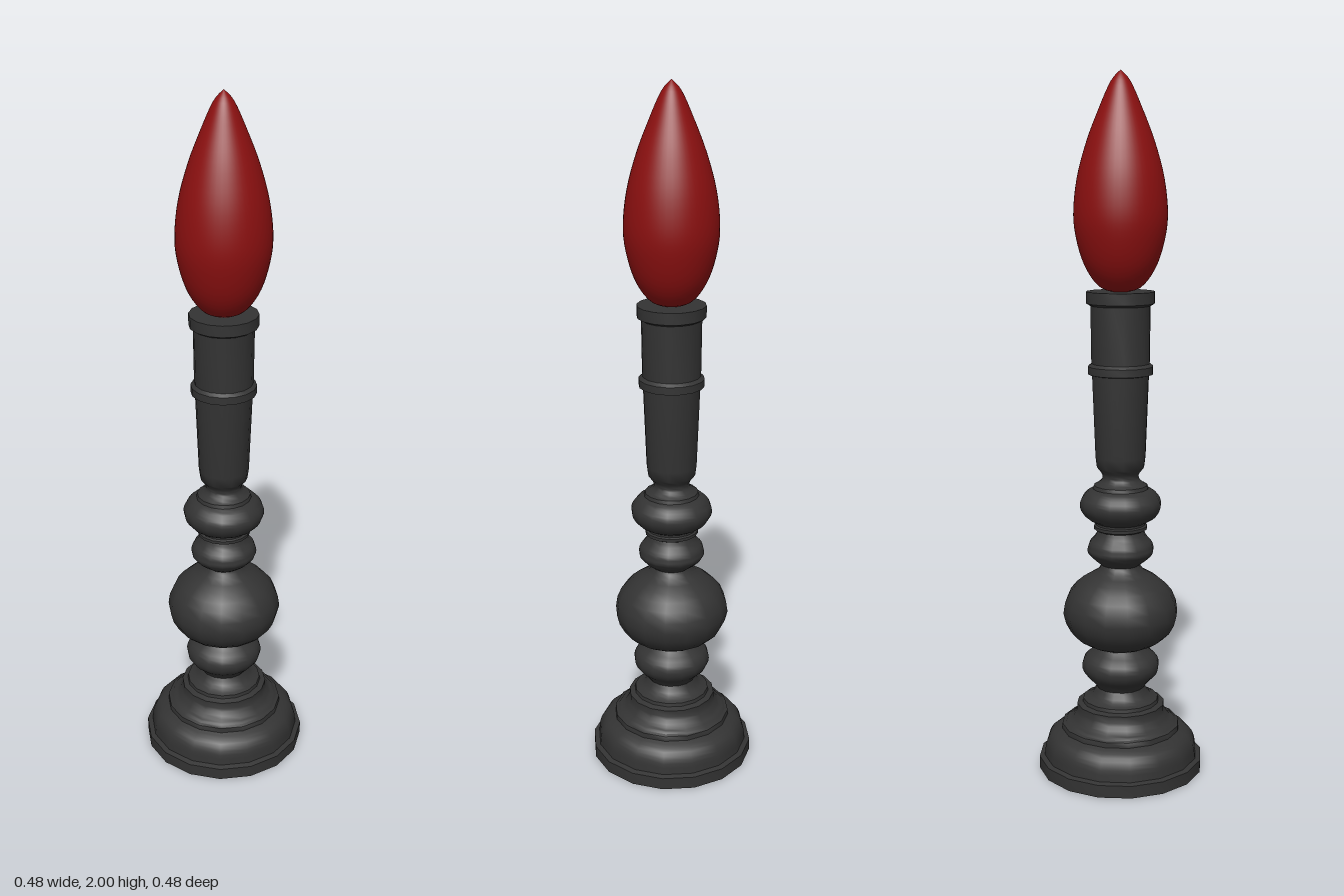
import * as THREE from 'three';
import { toCreasedNormals } from 'three/addons/utils/BufferGeometryUtils.js';

const iron = new THREE.MeshStandardMaterial({ color: 0x333333 });
const red = new THREE.MeshStandardMaterial({ color: 0x8c1010 });

const points = (list) => list.map(([r, y]) => new THREE.Vector2(r, y));
const curve = (list, steps) =>
  new THREE.SplineCurve(points(list)).getPoints(steps).map((p) => p.setX(Math.max(p.x, 0)));

// Turned part: 16 sides, sharp where the profile turns sharply
function turned(name, profile) {
  const geometry = toCreasedNormals(new THREE.LatheGeometry(profile, 16), 0.7);
  const mesh = new THREE.Mesh(geometry, iron);
  mesh.name = name;
  return mesh;
}

export function createModel() {
  const model = new THREE.Group();
  model.name = 'candlestick';

  // Stepped foot, closed underneath
  model.add(turned('foot', [
    ...points([[0, 0], [0.24, 0], [0.24, 0.036], [0.225, 0.04]]),
    ...curve([[0.224, 0.05], [0.219, 0.08], [0.203, 0.105], [0.173, 0.12]], 8),
    ...points([[0.172, 0.135], [0.163, 0.138]]),
    ...curve([[0.16, 0.142], [0.143, 0.152], [0.128, 0.175]], 5),
    ...points([[0.128, 0.195], [0.112, 0.2]]),
    ...curve([[0.11, 0.21], [0.085, 0.222], [0.07, 0.245]], 5),
  ]));

  // Beads of the stem, from neck to neck
  const beads = {
    lowerBead: [[0.07, 0.245], [0.082, 0.262], [0.105, 0.285], [0.113, 0.31], [0.105, 0.335], [0.082, 0.355], [0.07, 0.367]],
    mainBulb: [[0.07, 0.367], [0.105, 0.382], [0.145, 0.413], [0.167, 0.47], [0.15, 0.53], [0.11, 0.57], [0.068, 0.595], [0.055, 0.613]],
    middleBead: [[0.055, 0.613], [0.075, 0.628], [0.092, 0.645], [0.096, 0.66], [0.09, 0.68], [0.075, 0.697], [0.067, 0.715]],
    upperBead: [[0.078, 0.742], [0.1, 0.755], [0.116, 0.78], [0.115, 0.805], [0.098, 0.828], [0.08, 0.838]],
  };
  for (const [name, list] of Object.entries(beads)) model.add(turned(name, curve(list, 14)));

  // Thin collar between the two upper beads
  model.add(turned('collar', points([
    [0.067, 0.715], [0.077, 0.72], [0.077, 0.729], [0.071, 0.732], [0.071, 0.738], [0.078, 0.742],
  ])));

  // Neck, tapered socket, ring and rim
  model.add(turned('socket', [
    ...points([[0.08, 0.838], [0.077, 0.848]]),
    ...curve([[0.072, 0.85], [0.055, 0.863], [0.053, 0.88], [0.068, 0.9]], 8),
    ...points([
      [0.072, 0.93], [0.081, 1.165], [0.093, 1.168], [0.093, 1.19], [0.083, 1.198],
      [0.085, 1.36], [0.097, 1.367], [0.097, 1.4], [0, 1.4],
    ]),
  ]));

  // Flame-shaped bulb
  const flame = new THREE.Mesh(new THREE.LatheGeometry(curve([
    [0, 1.395], [0.055, 1.41], [0.095, 1.46], [0.12, 1.53], [0.131, 1.61], [0.121, 1.71],
    [0.094, 1.81], [0.059, 1.9], [0.027, 1.97], [0, 2],
  ], 36), 48), red);
  flame.name = 'flame';
  model.add(flame);

  return model;
}
